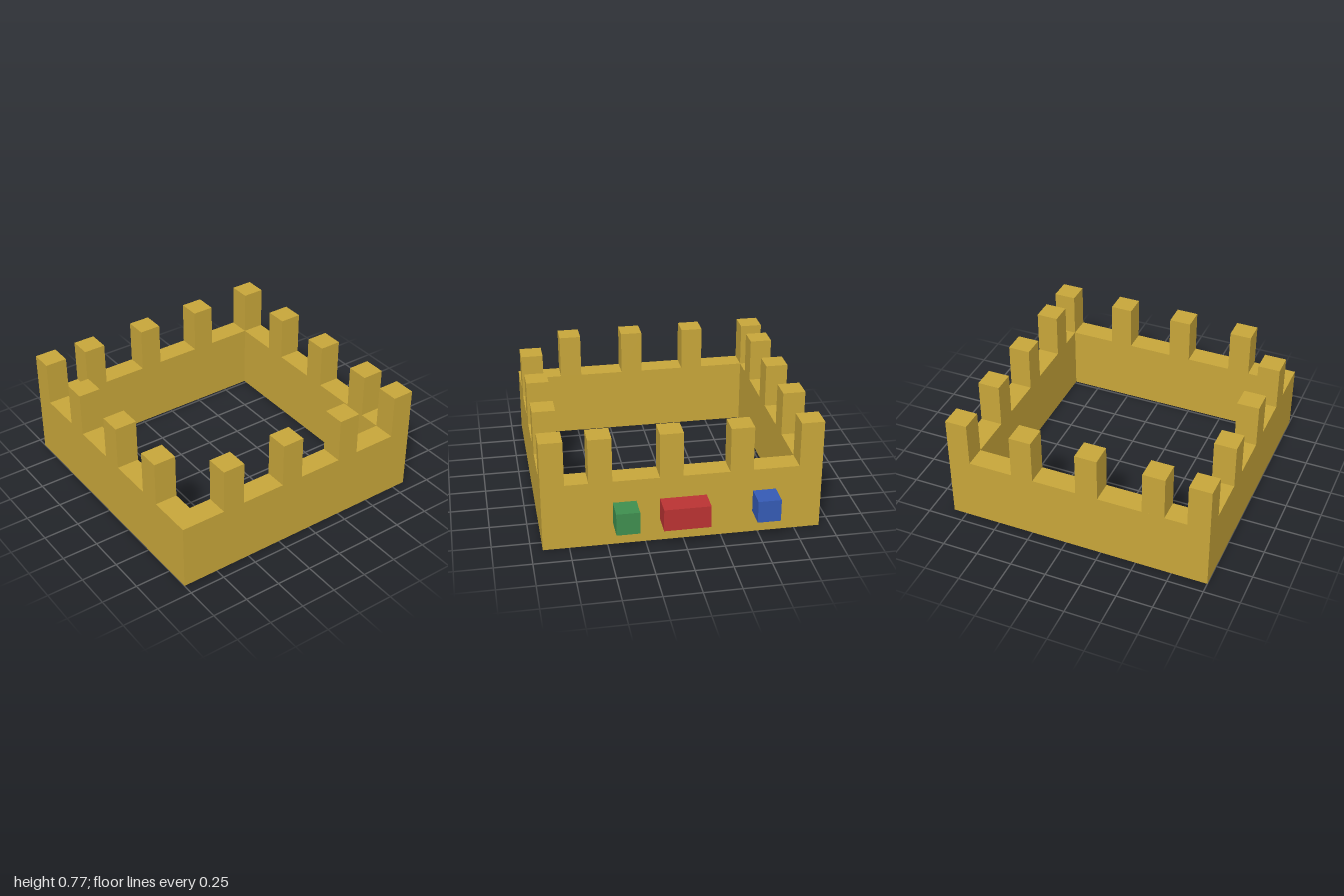
import * as THREE from 'three';

const U = 2 / 13; // one block
const Z0 = 0.5;   // wall ring centre in z, in blocks

const gold = new THREE.MeshStandardMaterial({ name: 'sandGold', color: 0xc8a63a });
const red = new THREE.MeshStandardMaterial({ name: 'red', color: 0xbb3333 });
const green = new THREE.MeshStandardMaterial({ name: 'green', color: 0x3f8f4f });
const blue = new THREE.MeshStandardMaterial({ name: 'blue', color: 0x355bb5 });

// Box given by its minimum corner and size, in blocks
function block(name, material, x, y, z, w, h, d) {
  const mesh = new THREE.Mesh(new THREE.BoxGeometry(w * U, h * U, d * U), material);
  mesh.position.set((x + w / 2) * U, (y + h / 2) * U, (z + d / 2) * U);
  mesh.name = name;
  return mesh;
}

function square(Type, half) {
  const h = half * U;
  return new Type([[-h, -h], [h, -h], [h, h], [-h, h]].map(p => new THREE.Vector2(...p)));
}

export function createModel() {
  const model = new THREE.Group();
  model.name = 'battlementWall';

  // Square wall ring
  const outline = square(THREE.Shape, 6);
  outline.holes.push(square(THREE.Path, 5));
  const ring = new THREE.ExtrudeGeometry(outline, { depth: 3 * U, bevelEnabled: false });
  ring.rotateX(-Math.PI / 2);
  const wall = new THREE.Mesh(ring, gold);
  wall.name = 'wallRing';
  wall.position.z = Z0 * U;
  model.add(wall);

  // Merlons every third block; the front left corner stays open
  const merlons = new THREE.Group();
  merlons.name = 'merlons';
  const addMerlon = (x, z) => merlons.add(block('merlon', gold, x, 3, z + Z0, 1, 2, 1));
  for (const s of [-6, -3, 0, 3]) {
    addMerlon(s, 5);                 // front
    addMerlon(s, -6);                // back
    addMerlon(5, s);                 // left
    if (s !== -6) addMerlon(-6, s);  // right, corner already placed
  }
  model.add(merlons);

  // Coloured blocks on the back wall
  model.add(
    block('blueBlock', blue, -4, 1, -6.5, 1, 1, 1),
    block('redBlock', red, -1, 1, -6.5, 2, 1, 1),
    block('greenBlock', green, 2, 1, -6.5, 1, 1, 1),
  );
  return model;
}
